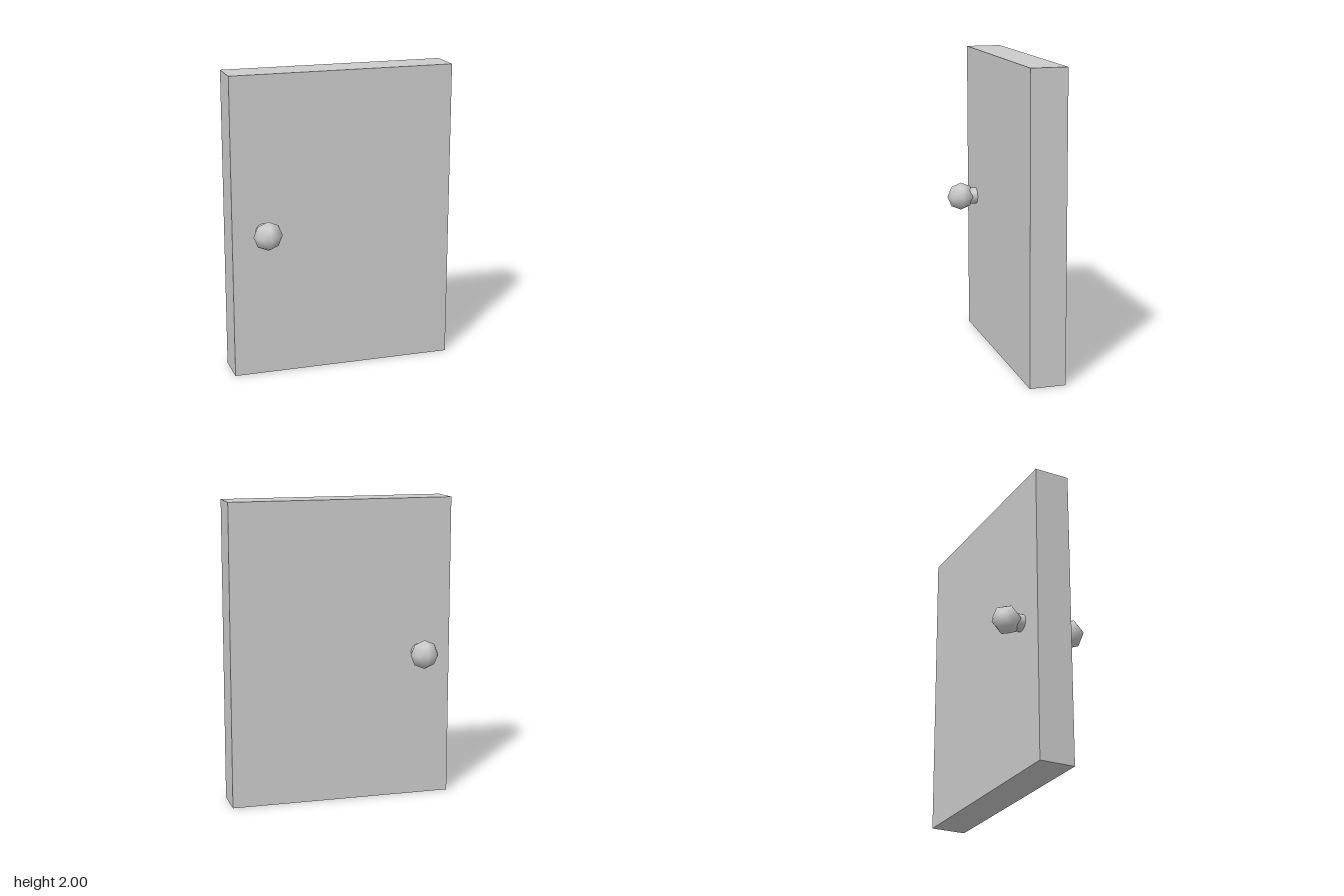
import * as THREE from 'three';

export function createModel() {
  const model = new THREE.Group();
  model.name = 'door';
  const material = new THREE.MeshStandardMaterial({ color: 0xcccccc });

  function addPart(name, geometry, x, y, z) {
    const mesh = new THREE.Mesh(geometry, material);
    mesh.name = name;
    mesh.position.set(x, y, z);
    model.add(mesh);
    return mesh;
  }

  // Plain slab
  addPart('doorPanel', new THREE.BoxGeometry(1.486, 2, 0.236), 0, 1, 0);

  // One faceted, smooth-shaded knob on a short stem per side
  const knobX = -0.533, knobY = 0.978;
  const knobGeometry = new THREE.OctahedronGeometry(0.096, 1);
  const stemGeometry = new THREE.CylinderGeometry(0.056, 0.056, 0.07, 24).rotateX(Math.PI / 2);
  for (const [label, side] of [['front', 1], ['back', -1]]) {
    addPart(label + 'Stem', stemGeometry, knobX, knobY, side * 0.135);
    addPart(label + 'Knob', knobGeometry, knobX, knobY, side * 0.225);
  }

  return model;
}
